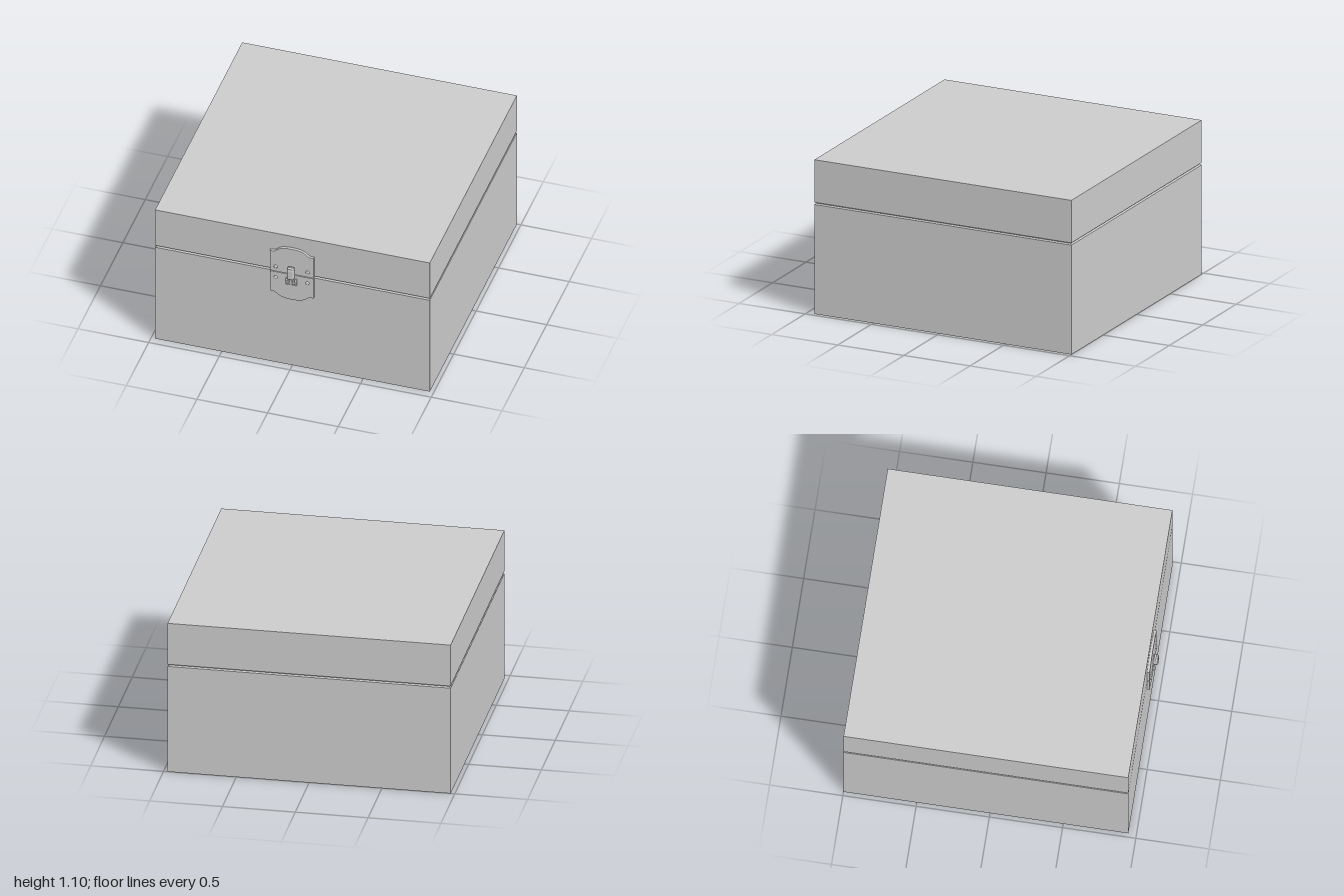
import * as THREE from 'three';

const SEAM = 0.785, FRONT = 0.945, PLATE = 0.964;
const smooth = new THREE.MeshStandardMaterial({ color: 0xcccccc });
const flat = new THREE.MeshStandardMaterial({ color: 0xcccccc, flatShading: true });

function add(parent, name, geometry, material, x = 0, y = 0, z = 0) {
  const mesh = new THREE.Mesh(geometry, material);
  mesh.name = name;
  mesh.position.set(x, y, z);
  parent.add(mesh);
  return mesh;
}

// Square block made from a [half width, height] profile swept round four sides
function squareBlock(profile) {
  const points = profile.map(([half, y]) => new THREE.Vector2(half * Math.SQRT2, y));
  return new THREE.LatheGeometry(points, 4, Math.PI / 4);
}

// Bevelled slab whose outermost outline equals the given shape
function slab(shape, depth, bevel) {
  return new THREE.ExtrudeGeometry(shape, {
    depth: depth - bevel, bevelEnabled: true, bevelThickness: bevel,
    bevelSize: bevel, bevelOffset: -bevel, bevelSegments: 2, curveSegments: 10,
  });
}

// Half of the latch plate, rising from the seam to its arched end
function plateHalf() {
  const s = new THREE.Shape();
  s.moveTo(-0.155, 0);
  s.lineTo(0.155, 0);
  s.lineTo(0.155, 0.168);
  s.lineTo(0.132, 0.169);
  s.quadraticCurveTo(0.115, 0.172, 0.102, 0.187);
  s.bezierCurveTo(0.08, 0.207, 0.04, 0.213, 0, 0.213);
  s.bezierCurveTo(-0.04, 0.213, -0.08, 0.207, -0.102, 0.187);
  s.quadraticCurveTo(-0.115, 0.172, -0.132, 0.169);
  s.lineTo(-0.155, 0.168);
  return slab(s, PLATE - FRONT, 0.004);
}

// Solid with a [z, y] side profile, centred on x
function sideProfile(points, width, bevel) {
  const shape = new THREE.Shape(points.map(([z, y]) => new THREE.Vector2(-z, y)));
  const geometry = new THREE.ExtrudeGeometry(shape, {
    depth: width - 2 * bevel, bevelEnabled: true, bevelThickness: bevel,
    bevelSize: bevel, bevelOffset: -bevel, bevelSegments: 3,
  });
  return geometry.translate(0, 0, bevel - width / 2).rotateY(Math.PI / 2);
}

export function createModel() {
  const model = new THREE.Group();
  model.name = 'box';

  // Body and lid, with chamfered rims that form the seam groove
  const body = squareBlock([[0, 0], [0.972, 0], [0.972, SEAM - 0.008], [0.962, SEAM], [0, SEAM]]);
  add(model, 'body', body, flat, 0, 0, -0.0275);
  const lid = squareBlock([[0, SEAM], [0.962, SEAM], [0.972, SEAM + 0.008], [0.972, 1.095], [0, 1.095]]);
  add(model, 'lid', lid, flat, 0, 0, -0.0275);

  const latch = new THREE.Group();
  latch.name = 'latch';
  model.add(latch);

  // Mirrored plates above and below the seam
  add(latch, 'upperPlate', plateHalf(), flat, 0, SEAM + 0.002, FRONT);
  add(latch, 'lowerPlate', plateHalf(), flat, 0, SEAM - 0.002, FRONT).rotation.z = Math.PI;

  // Domed rivets
  for (const x of [-0.113, 0.113]) {
    for (const y of [0.829, 0.738]) {
      const dome = new THREE.SphereGeometry(0.013, 16, 6, 0, Math.PI * 2, 0, Math.PI / 2);
      dome.rotateX(Math.PI / 2).scale(1, 1, 0.75);
      add(latch, 'rivet', dome, smooth, x, y, PLATE);
    }
  }

  // Hasp: a rounded grip, a thin tongue and its hooked tip
  const grip = sideProfile([
    [0.96, 0.765], [0.988, 0.757], [1.0, 0.768], [1.0, 0.835],
    [0.996, 0.85], [0.985, 0.859], [0.972, 0.858], [0.96, 0.845],
  ], 0.044, 0.007);
  add(latch, 'haspGrip', grip, flat);
  const tongue = sideProfile([
    [0.962, 0.705], [0.976, 0.703], [0.984, 0.715], [0.993, 0.775], [0.962, 0.775],
  ], 0.024, 0.003);
  add(latch, 'haspTongue', tongue, flat);
  const pin = new THREE.CylinderGeometry(0.008, 0.008, 0.07, 12).rotateZ(Math.PI / 2);
  add(latch, 'catchPin', pin, smooth, 0, 0.727, 0.978);

  // Catch: a foot with two cheeks holding the tongue
  add(latch, 'catchFoot', new THREE.BoxGeometry(0.08, 0.024, 0.01), flat, 0, 0.694, PLATE + 0.002);
  for (const x of [-0.032, 0.032]) {
    const cheek = sideProfile([
      [0.96, 0.69], [0.968, 0.69], [0.985, 0.718], [0.985, 0.738], [0.97, 0.754], [0.96, 0.754],
    ], 0.013, 0.002);
    add(latch, 'catchCheek', cheek, flat, x);
  }

  return model;
}
